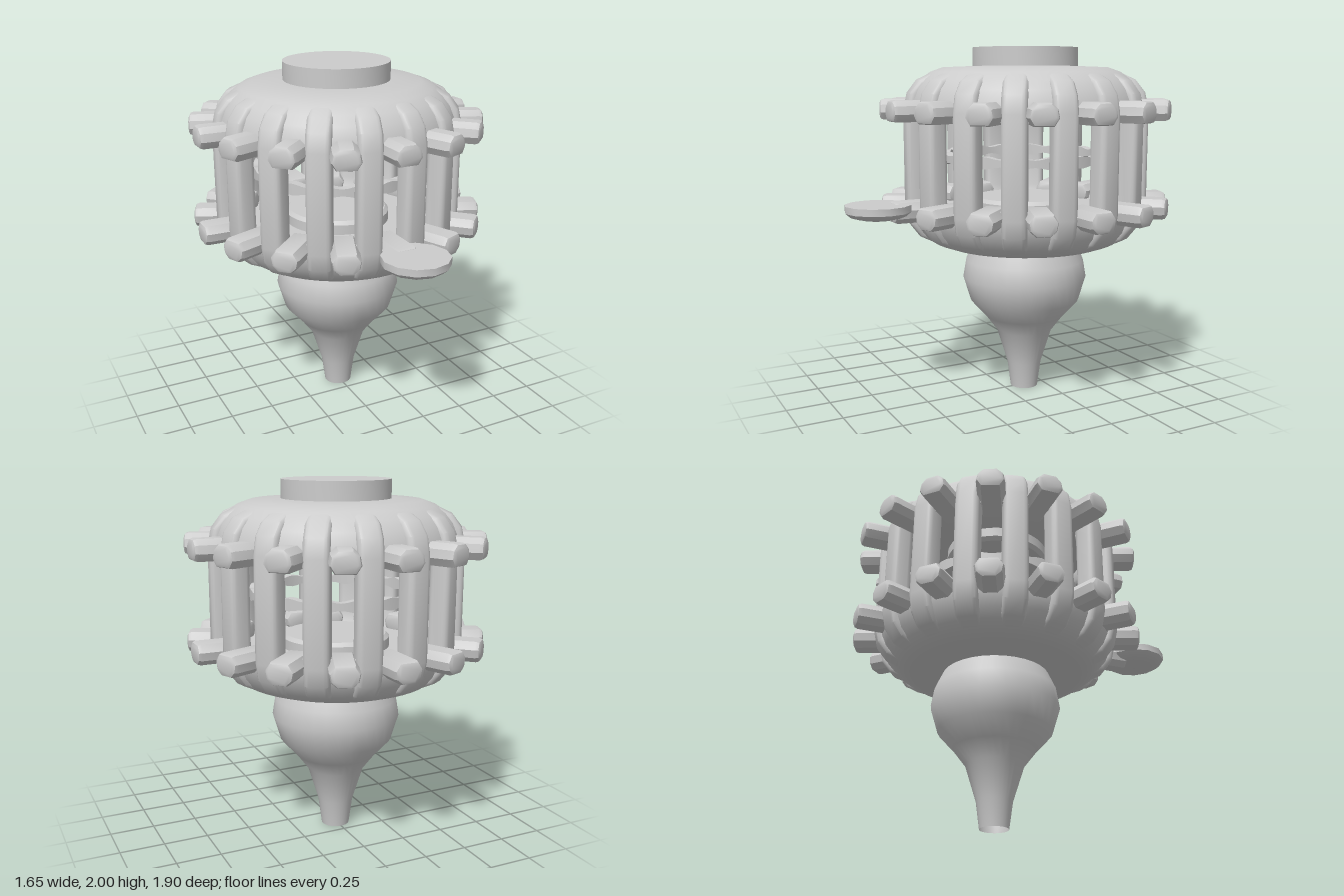
import * as THREE from 'three';
import { toCreasedNormals } from 'three/addons/utils/BufferGeometryUtils.js';

const AXIS_Z = -0.13; // the drum's axis lies behind the centre because of the front paddle
const MID_Y = 1.385; // upper and lower halves mirror about this height
const COUNT = 16;

const grey = new THREE.MeshStandardMaterial({ color: 0xcccccc, side: THREE.DoubleSide });

const vec = (pts) => pts.map(([x, y]) => new THREE.Vector2(x, y));

function mesh(name, geometry) {
  const m = new THREE.Mesh(geometry, grey);
  m.name = name;
  return m;
}

function lathe(name, pts, segments = 48, crease = 0.6) {
  return mesh(name, toCreasedNormals(new THREE.LatheGeometry(vec(pts), segments), crease));
}

// Repeats a part around the axis; the part is drawn pointing along +z
function around(name, geometry, offset) {
  const group = new THREE.Group();
  group.name = name + 's';
  for (let i = 0; i < COUNT; i++) {
    const m = mesh(name, geometry);
    m.rotation.y = ((i + offset) / COUNT) * Math.PI * 2;
    group.add(m);
  }
  return group;
}

// Peg with a chamfered section, heights measured from the middle
function pegGeometry() {
  const section = new THREE.Shape(vec([
    [-0.04, 0.235], [0.04, 0.235], [0.056, 0.26], [0.05, 0.29],
    [0.028, 0.31], [-0.028, 0.31], [-0.05, 0.29], [-0.056, 0.26],
  ]));
  const g = new THREE.ExtrudeGeometry(section, {
    depth: 0.25, bevelEnabled: true, bevelThickness: 0.025, bevelSize: 0.02, bevelSegments: 2,
  });
  g.translate(0, 0, 0.55);
  return toCreasedNormals(g, 0.5);
}

// Upright bar whose ends curve over into the domes
function columnGeometry() {
  const half = [[0.685, 0.27], [0.665, 0.36], [0.615, 0.425], [0.54, 0.46], [0.5, 0.43], [0.57, 0.33], [0.6, 0.24]];
  const outline = [...half, ...half.map(([r, y]) => [r, -y]).reverse()];
  const bevel = 0.03;
  const g = new THREE.ExtrudeGeometry(new THREE.Shape(vec(outline)), {
    depth: 0.135 - 2 * bevel, bevelEnabled: true, bevelThickness: bevel,
    bevelSize: bevel, bevelOffset: -0.016, bevelSegments: 3,
  });
  g.translate(0, 0, bevel - 0.0675);
  g.rotateY(-Math.PI / 2);
  return toCreasedNormals(g, 0.6);
}

// One end of the drum: dome, inner disc and its row of pegs
function drumEnd(name, peg) {
  const end = new THREE.Group();
  end.name = name;
  end.add(lathe('dome', [
    [0, 0.305], [0.62, 0.305], [0.63, 0.225], [0.665, 0.225], [0.672, 0.27], [0.66, 0.33],
    [0.635, 0.39], [0.595, 0.44], [0.54, 0.48], [0.47, 0.505], [0.3, 0.512], [0, 0.512],
  ]));
  end.add(lathe('innerDisc', [[0, 0.23], [0.28, 0.23], [0.3, 0.25], [0.3, 0.31]]));
  end.add(around('peg', peg, 0));
  return end;
}

// Thin inner ring, thicker behind every column
function ringGeometry() {
  const g = new THREE.LatheGeometry(
    vec([[0.43, -1], [0.48, -1], [0.48, 1], [0.43, 1], [0.43, -1]]), COUNT * 6);
  const p = g.attributes.position;
  for (let i = 0; i < p.count; i++) {
    const a = Math.atan2(p.getX(i), p.getZ(i));
    p.setY(i, p.getY(i) * (0.026 - 0.007 * Math.cos(COUNT * a)));
  }
  return toCreasedNormals(g, 0.6);
}

export function createModel() {
  const model = new THREE.Group();
  const body = new THREE.Group();
  body.name = 'body';
  body.position.z = AXIS_Z;
  model.add(body);

  // Cage drum
  const drum = new THREE.Group();
  drum.name = 'drum';
  drum.position.y = MID_Y;
  const peg = pegGeometry();
  const upper = drumEnd('upperEnd', peg);
  const lower = drumEnd('lowerEnd', peg);
  lower.scale.y = -1;
  drum.add(upper, lower);
  drum.add(around('column', columnGeometry(), 0.5));
  drum.add(mesh('innerRing', ringGeometry()));
  body.add(drum);

  // Cap on top
  body.add(lathe('cap', [[0.3, 1.87], [0.3, 2], [0, 2]]));

  // Bulb narrowing to an open spout
  body.add(lathe('bulb', [
    [0.08, 0], [0.1, 0.15], [0.162, 0.35], [0.23, 0.44], [0.32, 0.54],
    [0.362, 0.68], [0.345, 0.78], [0.295, 0.89],
  ], 32, 1.2));

  // Flat-topped paddle on the lower front peg
  const paddle = lathe('paddle', [
    [0, 1.08], [0.09, 1.085], [0.15, 1.1], [0.18, 1.125], [0.18, 1.163], [0, 1.163],
  ], 12);
  paddle.position.z = 0.77;
  model.add(paddle);

  return model;
}
